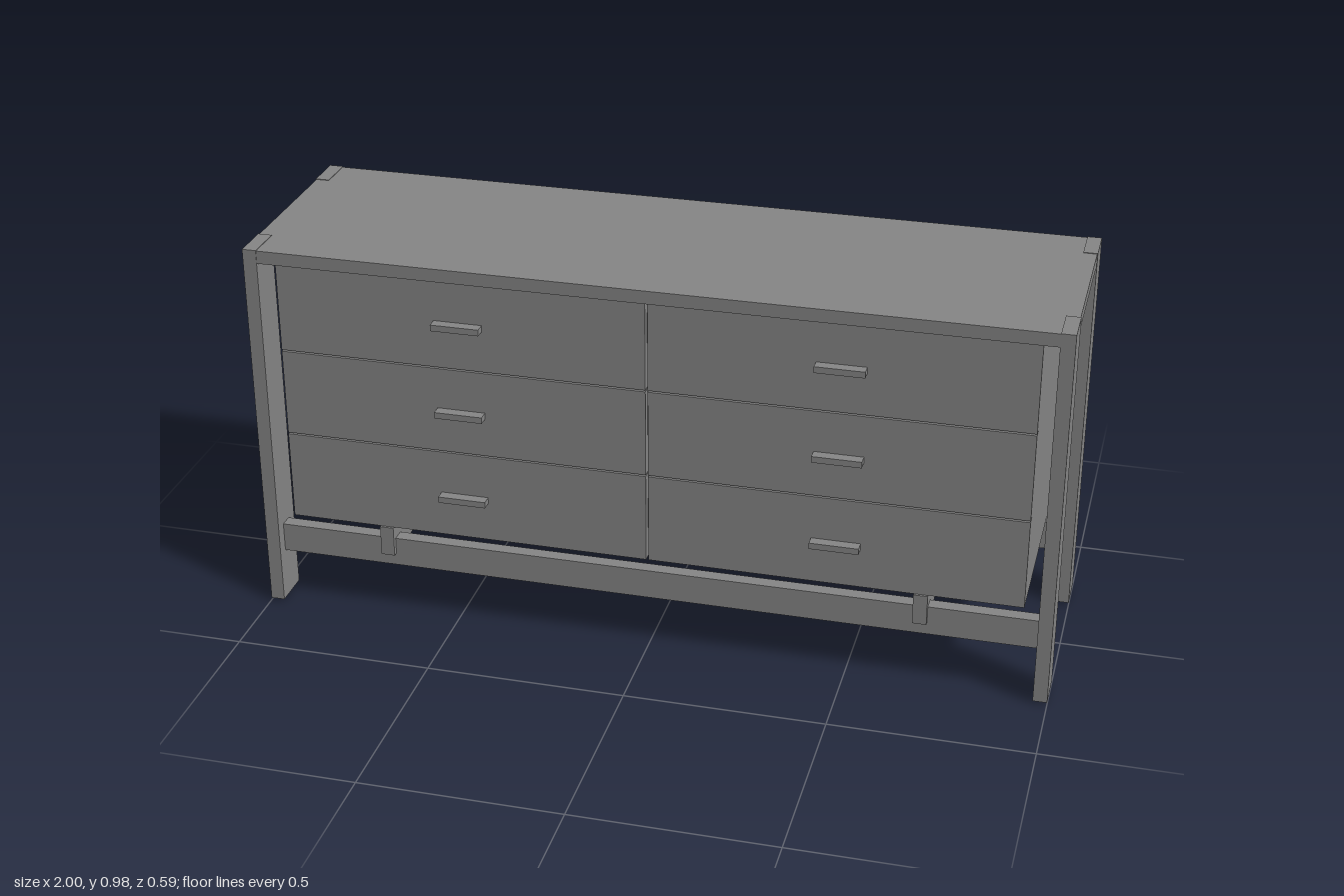
import * as THREE from 'three';

const material = new THREE.MeshStandardMaterial({ color: 0x878787, flatShading: true });
const glideMaterial = new THREE.MeshStandardMaterial({ color: 0x0c0c0c });

export function createModel() {
  const model = new THREE.Group();
  model.name = 'dresser';

  // Box given by its lower and upper limits on each axis
  const box = (name, [x0, x1], [y0, y1], [z0, z1], parent = model) => {
    const mesh = new THREE.Mesh(new THREE.BoxGeometry(x1 - x0, y1 - y0, z1 - z0), material);
    mesh.position.set((x0 + x1) / 2, (y0 + y1) / 2, (z0 + z1) / 2);
    mesh.name = name;
    parent.add(mesh);
  };

  const front = 0.288, back = -0.293, legIn = 0.965, legDepth = 0.101;
  const topY = 0.981, topUnder = 0.9465, caseX = 0.927, caseY = 0.248;
  const zf = front - legDepth, zb = back + legDepth;
  const span = (side, a, b) => (side > 0 ? [a, b] : [-b, -a]);

  // Top board, notched around the legs and a hair inside their outer faces
  const hair = 0.0015, endX = 1 - hair, frontZ = front - hair, backZ = back + hair;
  const outline = new THREE.Shape();
  [[-legIn, frontZ], [legIn, frontZ], [legIn, zf], [endX, zf], [endX, zb], [legIn, zb],
    [legIn, backZ], [-legIn, backZ], [-legIn, zb], [-endX, zb], [-endX, zf], [-legIn, zf]]
    .forEach(([x, z], i) => (i ? outline.lineTo(x, -z) : outline.moveTo(x, -z)));
  const topGeometry = new THREE.ExtrudeGeometry(outline, { depth: topY - hair - topUnder, bevelEnabled: false });
  topGeometry.rotateX(-Math.PI / 2).translate(0, topUnder, 0);
  const top = new THREE.Mesh(topGeometry, material);
  top.name = 'topBoard';
  model.add(top);

  // Flat legs with small round black glides
  for (const side of [-1, 1]) {
    for (const [end, z0, z1, glideZ] of [['Front', zf, front, 0.255], ['Back', back, zb, -0.258]]) {
      const label = (side > 0 ? 'left' : 'right') + end;
      box(label + 'Leg', span(side, legIn, 1), [0.006, topY], [z0, z1]);
      const glide = new THREE.Mesh(new THREE.CylinderGeometry(0.011, 0.011, 0.008, 24), glideMaterial);
      glide.position.set(side * 0.9825, 0.004, glideZ);
      glide.name = label + 'Glide';
      model.add(glide);
    }
  }

  // Long rails joining the legs, and cross bars carrying the case
  box('frontRail', [-legIn, legIn], [0.136, 0.212], [0.222, 0.257]);
  box('backRail', [-legIn, legIn], [0.136, 0.212], [-0.265, -0.23]);
  for (const side of [-1, 1]) box('crossBar', span(side, 0.661, 0.696), [0.169, caseY], [-0.275, 0.27]);

  // Case with a flat back
  const caseFront = 0.245;
  box('caseBody', [-caseX, caseX], [caseY, topUnder], [-0.282, caseFront]);

  // Six drawers, two columns of three, each with a bar pull
  const rows = [[0.249, 0.4805, 0.36], [0.4845, 0.7085, 0.594], [0.7125, 0.941, 0.828]];
  for (const side of [-1, 1]) {
    for (const [y0, y1, pullY] of rows) {
      const drawer = new THREE.Group();
      drawer.name = 'drawer';
      model.add(drawer);
      box('drawerFront', span(side, 0.003, caseX), [y0, y1], [caseFront, 0.266], drawer);
      box('drawerPull', span(side, 0.407, 0.528), [pullY - 0.008, pullY + 0.008], [0.266, 0.293], drawer);
    }
  }
  return model;
}
